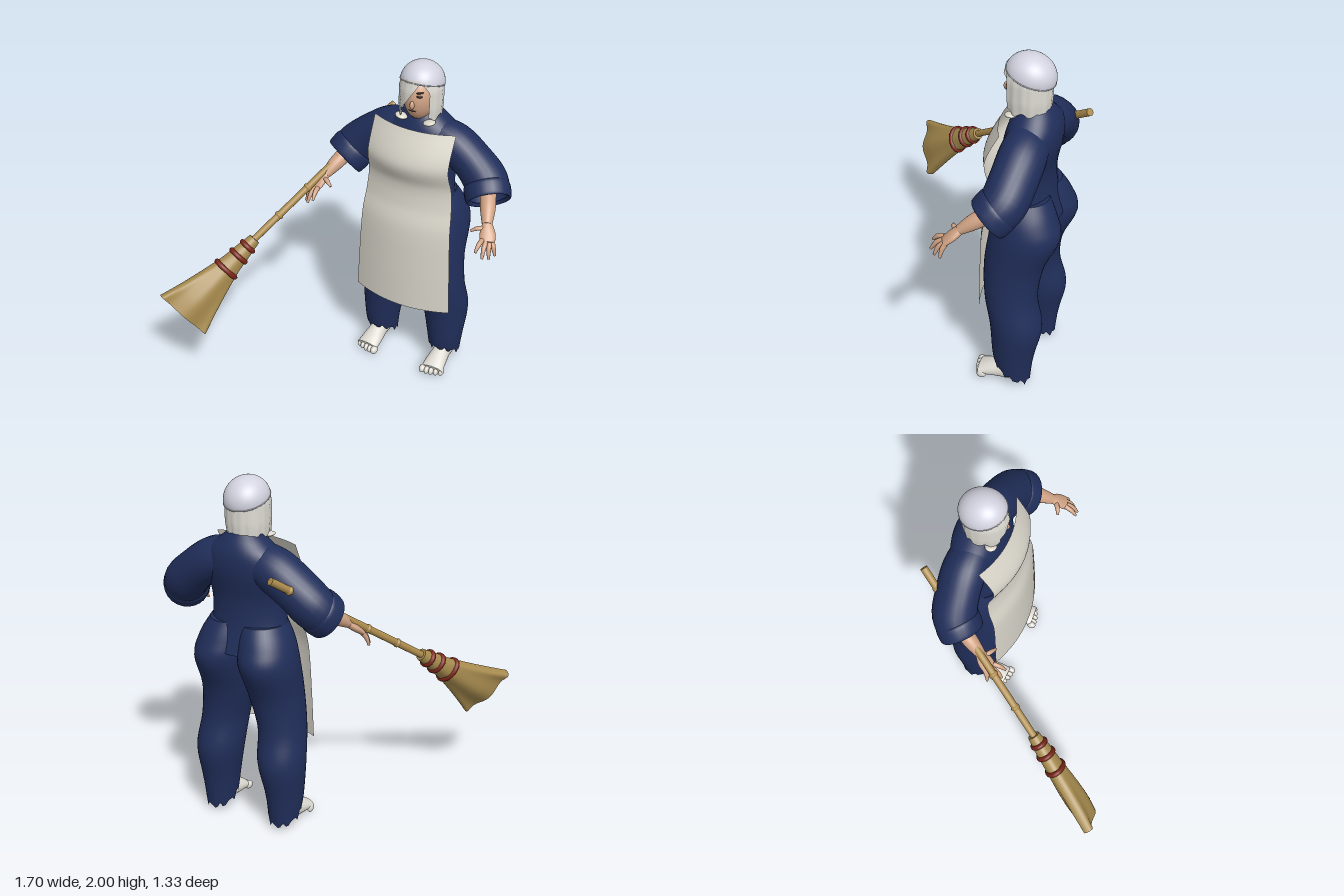
import * as THREE from 'three';

const V = (x, y, z) => new THREE.Vector3(x, y, z);
const mat = (name, color, open) => {
  const m = new THREE.MeshStandardMaterial({ color });
  m.name = name;
  if (open) m.side = THREE.DoubleSide;
  return m;
};

// Smooth interpolation through rows of numbers, t from 0 to 1
function along(rows, t) {
  const f = t * (rows.length - 1), i = Math.min(Math.floor(f), rows.length - 2), k = f - i;
  const [p, a, b, q] = [i - 1, i, i + 1, i + 2].map(n => rows[THREE.MathUtils.clamp(n, 0, rows.length - 1)]);
  return a.map((_, c) => a[c] + 0.5 * k * (b[c] - p[c]
    + k * (2 * p[c] - 5 * a[c] + 4 * b[c] - q[c] + k * (3 * (a[c] - b[c]) + q[c] - p[c]))));
}

// Surface from a rule f(u, v); optionally closed around u and capped at the ends
function grid(f, nu, nv, closed = false, caps = [false, false]) {
  const pos = [], idx = [], cols = closed ? nu : nu + 1;
  for (let i = 0; i <= nv; i++)
    for (let j = 0; j < cols; j++) pos.push(...f(j / nu, i / nv).toArray());
  for (let i = 0; i < nv; i++)
    for (let j = 0; j < nu; j++) {
      const a = i * cols + j, b = i * cols + (j + 1) % cols, c = b + cols, d = a + cols;
      idx.push(a, b, c, a, c, d);
    }
  caps.forEach((on, end) => {
    if (!on) return;
    const start = pos.length / 3, mid = V(0, 0, 0);
    for (let j = 0; j < cols; j++) {
      const p = f(j / nu, end);
      mid.addScaledVector(p, 1 / cols);
      pos.push(...p.toArray());
    }
    pos.push(...mid.toArray());
    for (let j = 0; j < cols; j++) {
      const a = start + j, b = start + (j + 1) % cols;
      idx.push(start + cols, ...(end ? [a, b] : [b, a]));
    }
  });
  const g = new THREE.BufferGeometry();
  g.setAttribute('position', new THREE.Float32BufferAttribute(pos, 3));
  g.setIndex(idx);
  g.computeVertexNormals();
  return g;
}

// Elliptical sweep; rows are [x, y, z, half width, half depth]
function sweep(rows, { hint = V(0, 0, 1), axis, sides = 24, steps = 5, caps = [true, true], warp } = {}) {
  return grid((u, v) => {
    const r = along(rows, v), c = V(r[0], r[1], r[2]);
    const lo = along(rows, Math.max(0, v - 0.02)), hi = along(rows, Math.min(1, v + 0.02));
    const t = axis || V(hi[0] - lo[0], hi[1] - lo[1], hi[2] - lo[2]).normalize();
    const side = hint.clone().cross(t).normalize(), n = t.clone().cross(side);
    const th = u * Math.PI * 2;
    c.addScaledVector(side, r[3] * Math.cos(th)).addScaledVector(n, r[4] * Math.sin(th));
    if (warp) warp(c, u, v);
    return c;
  }, sides, (rows.length - 1) * steps, true, caps);
}

export function createModel() {
  const blue = mat('navy cloth', 0x202e5a, true), linen = mat('off-white linen', 0xdad6cb, true);
  const hairMat = mat('white hair', 0xdddbd3, true), capMat = mat('pale lilac cap', 0xd3d3e0, true);
  const skin = mat('skin', 0xcfa284), white = mat('white feet', 0xdedbd3);
  const straw = mat('straw', 0xa68a4e), cane = mat('cane', 0xac8b4c);
  const red = mat('red cord', 0x7a2418), dark = mat('dark features', 0x3a2620);

  const model = new THREE.Group();
  model.name = 'sweeper';
  const body = new THREE.Group();
  body.name = 'figure';
  body.position.x = 0.245;
  model.add(body);
  const add = (name, geo, m, parent = body) => {
    const o = new THREE.Mesh(geo, m);
    o.name = name;
    parent.add(o);
    return o;
  };
  const ball = (name, x, y, z, rx, ry, rz, m) => {
    const o = add(name, new THREE.SphereGeometry(1, 24, 16), m);
    o.position.set(x, y, z);
    o.scale.set(rx, ry, rz);
    return o;
  };

  // Shirt body
  const UP = V(0, 1, 0);
  add('shirt', sweep([
    [0, 1.06, -0.44, 0.27, 0.17], [0, 1.2, -0.42, 0.225, 0.15], [0, 1.35, -0.42, 0.22, 0.14],
    [0, 1.5, -0.44, 0.25, 0.145], [0, 1.6, -0.45, 0.22, 0.135], [0, 1.67, -0.45, 0.14, 0.11],
    [0, 1.715, -0.445, 0.085, 0.08]], { axis: UP, sides: 36 }), blue);

  for (const s of [-1, 1]) {
    const side = s > 0 ? 'left' : 'right';
    const P = rows => rows.map(([x, ...r]) => [x * s, ...r]);

    // Trouser leg with a ragged hem, lower at the heel
    add(side + 'TrouserLeg', sweep(P([
      [0.215, 0.08, -0.44, 0.092, 0.1], [0.215, 0.22, -0.44, 0.108, 0.122],
      [0.205, 0.41, -0.447, 0.133, 0.147], [0.187, 0.6, -0.407, 0.133, 0.148],
      [0.155, 0.8, -0.41, 0.15, 0.165], [0.143, 1.0, -0.46, 0.158, 0.193],
      [0.125, 1.12, -0.45, 0.148, 0.172], [0.1, 1.22, -0.43, 0.12, 0.14]]), {
      axis: UP, sides: 40, caps: [false, true],
      warp: (p, u, v) => {
        const k = Math.max(0, 1 - v * 12);
        p.y += k * (0.055 * Math.sin(u * Math.PI * 2) + 0.014 * Math.sin(u * 63) + 0.008 * Math.sin(u * 101));
      }
    }), blue);

    // Wide sleeve and turned-back cuff
    add(side + 'Sleeve', sweep(P([
      [0.07, 1.57, -0.45, 0.095, 0.11], [0.19, 1.53, -0.455, 0.115, 0.125], [0.31, 1.45, -0.45, 0.115, 0.125],
      [0.405, 1.36, -0.43, 0.123, 0.123], [0.455, 1.29, -0.37, 0.115, 0.11]]),
    { caps: [true, false], hint: V(0, 0.6, 0.8) }), blue);
    add(side + 'Cuff', sweep(P([
      [0.412, 1.35, -0.42, 0.118, 0.115], [0.422, 1.335, -0.408, 0.13, 0.127], [0.45, 1.295, -0.375, 0.128, 0.124],
      [0.458, 1.285, -0.366, 0.118, 0.113], [0.45, 1.297, -0.375, 0.1, 0.1]]),
    { caps: [false, false], hint: V(0, 0.6, 0.8), axis: V(0.45 * s, -0.6, 0.6).normalize() }), blue);

    // Forearm and spread hand
    add(side + 'Forearm', sweep(P([
      [0.42, 1.35, -0.43, 0.045, 0.045], [0.475, 1.275, -0.315, 0.043, 0.043],
      [0.508, 1.22, -0.24, 0.028, 0.026]]), { hint: UP }), skin);
    add(side + 'Palm', sweep(P([
      [0.505, 1.225, -0.247, 0.026, 0.022], [0.527, 1.19, -0.21, 0.042, 0.022],
      [0.545, 1.155, -0.172, 0.042, 0.016]]), { hint: UP }), skin);
    const fingers = [
      [0.518, 1.165, -0.165, 0.51, 1.12, -0.095], [0.538, 1.158, -0.165, 0.55, 1.09, -0.1],
      [0.555, 1.152, -0.175, 0.577, 1.08, -0.13], [0.567, 1.155, -0.19, 0.596, 1.085, -0.17],
      [0.505, 1.205, -0.22, 0.44, 1.19, -0.18]];
    fingers.forEach(([x, y, z, X, Y, Z], i) => add(side + (i < 4 ? 'Finger' : 'Thumb'), sweep(P([
      [x, y, z, 0.014, 0.014], [(x + X) / 2, (y + Y) / 2 + 0.01, (z + Z) / 2 + 0.004, 0.013, 0.013],
      [X, Y, Z, 0.007, 0.007]]), { hint: UP, sides: 10, steps: 4 }), skin));

    // Ankle, foot and toes
    add(side + 'Ankle', sweep(P([[0.22, 0.05, -0.43, 0.05, 0.065], [0.22, 0.15, -0.43, 0.048, 0.055],
      [0.215, 0.28, -0.44, 0.06, 0.065]]), { axis: UP }), white);
    add(side + 'Foot', sweep(P([
      [0.22, 0.04, -0.52, 0.02, 0.02], [0.22, 0.052, -0.485, 0.045, 0.048], [0.22, 0.065, -0.41, 0.05, 0.062],
      [0.222, 0.05, -0.32, 0.062, 0.047], [0.226, 0.033, -0.25, 0.068, 0.03]]), { hint: UP }), white);
    for (let i = 0; i < 5; i++)
      ball(side + 'Toe', s * (0.17 + i * 0.028), 0.026 - i * 0.001, -0.238 - i * i * 0.002,
        i ? 0.015 : 0.021, 0.025, 0.028, white);

    // Neck ties of the apron
    ball(side + 'NeckTie', s * 0.085, 1.678, -0.345, 0.036, 0.014, 0.032, linen).rotation.z = s * 0.2;
  }

  // Apron: curved sheet following [height, half width, middle z, edge set-back]
  const apron = [[1.645, 0.248, -0.28, 0.065], [1.46, 0.248, -0.2, 0.068], [1.31, 0.258, -0.243, 0.06],
    [1.18, 0.268, -0.238, 0.06], [1.03, 0.28, -0.205, 0.065], [0.77, 0.293, -0.197, 0.068], [0.495, 0.305, -0.197, 0.07]];
  add('apron', grid((u, v) => {
    const [y, w, z, d] = along(apron, v), k = 1 - 2 * u;
    return V(k * w, y, z - d * k * k);
  }, 20, 48), linen);

  // Neck, head and face
  add('neck', sweep([[0, 1.6, -0.44, 0.06, 0.06], [0, 1.78, -0.41, 0.052, 0.055]]), skin);
  ball('head', 0, 1.8, -0.395, 0.086, 0.132, 0.106, skin);
  ball('nose', 0.004, 1.79, -0.291, 0.013, 0.024, 0.018, skin);
  ball('eye', 0.038, 1.842, -0.306, 0.017, 0.007, 0.006, dark).rotation.y = 0.35;
  const brow = ball('eyebrow', 0.038, 1.862, -0.311, 0.022, 0.005, 0.006, dark);
  brow.rotation.set(0, 0.35, 0.2);
  ball('mouth', 0.002, 1.752, -0.299, 0.022, 0.004, 0.005, dark);

  // Bobbed hair, parted to one side with a fringe across the face
  add('hair', grid((u, v) => {
    const y0 = 1.7 + v * 0.235;
    const start = 0.85 - 0.35 * THREE.MathUtils.smoothstep(y0, 1.86, 1.935);
    const end = THREE.MathUtils.clamp(0.45 - (1.93 - y0) * 5.6, -0.55, 0.45);
    const th = start + u * (Math.PI * 2 + end - start), c = Math.cos(th);
    const k = (1 - 1.6 * Math.max(0, y0 - 1.865) - 0.9 * Math.max(0, 1.76 - y0)) * (1 + 0.012 * Math.sin(th * 17));
    const y = y0 + (1 - v) * (1 - v) * 0.012 * Math.sin(th * 9);
    return V(0.12 * k * Math.sin(th), y, -0.415 + (c > 0 ? 0.14 : 0.116) * k * c);
  }, 96, 14), hairMat);

  // Cap, tilted back
  const cap = new THREE.Group();
  cap.name = 'cap';
  cap.position.set(0, 1.882, -0.416);
  cap.rotation.x = -0.3;
  cap.scale.set(0.121, 0.116, 0.134);
  body.add(cap);
  add('capDome', new THREE.SphereGeometry(1, 40, 16, 0, Math.PI * 2, 0, Math.PI / 2), capMat, cap);
  add('capRim', new THREE.TorusGeometry(0.985, 0.035, 8, 40).rotateX(Math.PI / 2), capMat, cap);

  // Broom: cane handle with nodes
  const broom = new THREE.Group();
  broom.name = 'broom';
  model.add(broom);
  const top = V(-0.04, 1.55, -0.65), neck = V(-0.5, 0.93, 0.17);
  const at = (p, d, s, a, b) => [...p.clone().addScaledVector(d, s).toArray(), a, b];
  const hd = neck.clone().sub(top).normalize();
  add('handle', sweep([at(top, hd, 0, 0.021, 0.021), at(neck, hd, 0.05, 0.02, 0.02)], { sides: 16 }), cane, broom);
  for (const s of [0.13, 0.45, 0.7, 0.93])
    add('handleNode', sweep([at(top, hd, s - 0.014, 0.019, 0.019), at(top, hd, s, 0.026, 0.026),
      at(top, hd, s + 0.014, 0.019, 0.019)], { sides: 16 }), cane, broom);

  // Flat flared brush
  const bd = V(-0.23, -0.355, 0.43).normalize();
  const hint = bd.clone().cross(V(-0.22, 0.27, 0.09)).normalize();
  const brush = [[0, 0.034, 0.034], [0.1, 0.05, 0.045], [0.2, 0.064, 0.05], [0.3, 0.088, 0.056],
    [0.4, 0.115, 0.06], [0.5, 0.145, 0.058], [0.6, 0.178, 0.045]];
  add('bristles', sweep(brush.map(([s, a, b]) => at(neck, bd, s, a, b)), {
    hint, axis: bd, sides: 48,
    warp: (p, u, v) => p.addScaledVector(hint, v * v * 0.012 * Math.sin(u * Math.PI * 10))
  }), straw, broom);
  for (const s of [0.06, 0.135, 0.24]) {
    const [, a, b] = along(brush, s / 0.6);
    add('cord', sweep([-0.016, -0.008, 0.008, 0.016].map((o, i) => {
      const e = i % 3 ? 0.01 : -0.003;
      return at(neck, bd, s + o, a + e, b + e);
    }), { hint, axis: bd, steps: 3 }), red, broom);
  }
  return model;
}
